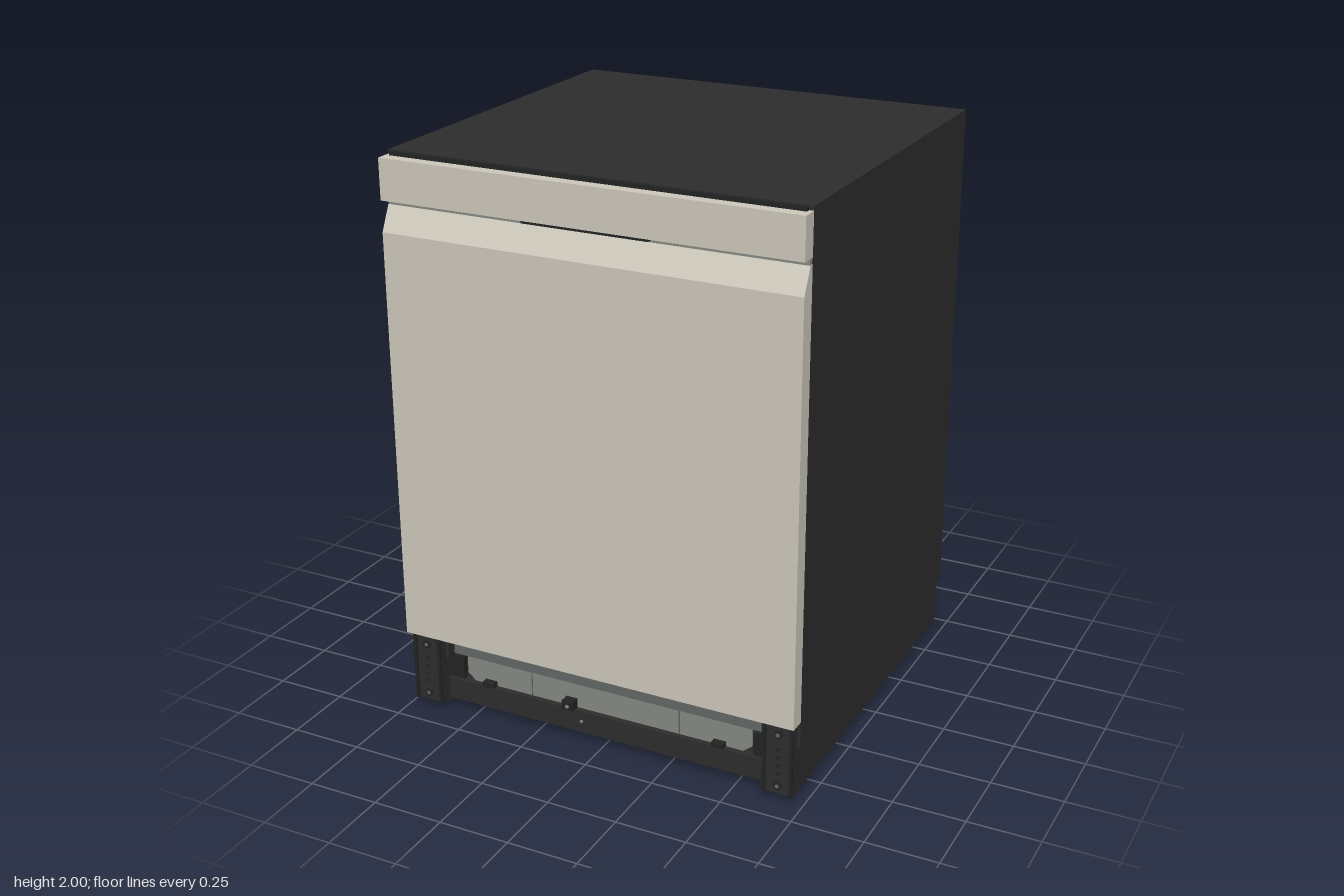
import * as THREE from 'three';

const mat = (name, color) => {
  const m = new THREE.MeshStandardMaterial({ color });
  m.name = name;
  return m;
};

export function createModel() {
  const cabinetBlack = mat('cabinet black', 0x2d2d2d);
  const trimBlack = mat('trim black', 0x222323);
  const doorSteel = mat('door warm steel', 0xcdc8bb);
  const gapGrey = mat('gap grey', 0x868984);
  const panelGrey = mat('kick panel grey', 0x858982);
  const shadowGrey = mat('upper strip grey', 0x626765);

  const model = new THREE.Group();
  model.name = 'dishwasher';

  const add = (name, geometry, material) => {
    const mesh = new THREE.Mesh(geometry, material);
    mesh.name = name;
    model.add(mesh);
    return mesh;
  };
  // Box given by its minimum and maximum on each axis
  const box = (name, material, x0, x1, y0, y1, z0, z1) => {
    const mesh = add(name, new THREE.BoxGeometry(x1 - x0, y1 - y0, z1 - z0), material);
    mesh.position.set((x0 + x1) / 2, (y0 + y1) / 2, (z0 + z1) / 2);
    return mesh;
  };
  // Disc or peg facing the front
  const peg = (name, material, r, depth, x, y, z) => {
    const mesh = add(name, new THREE.CylinderGeometry(r, r, depth, 12), material);
    mesh.rotation.x = Math.PI / 2;
    mesh.position.set(x, y, z);
  };
  // (z, y) profile extruded across the width
  const across = (name, material, profile, width) => {
    const shape = new THREE.Shape(profile.map(([z, y]) => new THREE.Vector2(-z, y)));
    const geo = new THREE.ExtrudeGeometry(shape, { depth: width, bevelEnabled: false });
    geo.translate(0, 0, -width / 2);
    geo.rotateY(Math.PI / 2);
    return add(name, geo, material);
  };

  // Cabinet shell, overhanging the base
  box('cabinet', cabinetBlack, -0.73, 0.73, 0.298, 2, -0.695, 0.64);
  box('cabinetLowerBand', cabinetBlack, -0.73, 0.73, 0.2, 0.298, -0.695, 0.595);
  box('base', cabinetBlack, -0.72, 0.72, 0.035, 0.2, -0.683, 0.595);

  // Door with a sloped finger recess along its top edge
  across('door', doorSteel,
    [[0.64, 0.3], [0.697, 0.3], [0.697, 1.742], [0.656, 1.826], [0.64, 1.826]], 1.46);

  // Control strip, the gap beneath it and the seal on top
  box('controlStrip', doorSteel, -0.73, 0.73, 1.847, 1.986, 0.64, 0.697);
  box('handleGap', gapGrey, -0.728, 0.728, 1.826, 1.847, 0.64, 0.657);
  box('handleLatch', trimBlack, -0.22, 0.22, 1.837, 1.847, 0.657, 0.69);
  box('topSeal', trimBlack, -0.715, 0.715, 1.986, 2, 0.64, 0.657);

  // Kick area: crossbar, upper strip and recessed panel
  box('kickCrossbar', cabinetBlack, -0.615, 0.615, 0.035, 0.116, 0.595, 0.625);
  box('kickUpperStrip', shadowGrey, -0.585, 0.585, 0.218, 0.298, 0.595, 0.625);
  const outline = new THREE.Shape([
    [-0.515, 0.116], [0.515, 0.116], [0.545, 0.14], [0.545, 0.205],
    [0.53, 0.218], [-0.545, 0.218], [-0.545, 0.14],
  ].map(([x, y]) => new THREE.Vector2(x, y)));
  const panel = new THREE.ExtrudeGeometry(outline, { depth: 0.009, bevelEnabled: false });
  add('kickPanel', panel, panelGrey).position.z = 0.596;
  for (const x of [-0.285, 0.28]) {
    box('panelSeam', shadowGrey, x - 0.002, x + 0.002, 0.118, 0.217, 0.603, 0.607);
  }

  // Clips along the panel's lower edge
  box('centreClip', trimBlack, -0.15, -0.108, 0.116, 0.15, 0.6, 0.64);
  peg('clipHole', panelGrey, 0.007, 0.004, -0.129, 0.131, 0.64);
  for (const x of [-0.45, 0.43]) {
    box('sideClip', trimBlack, x - 0.022, x + 0.022, 0.116, 0.134, 0.6, 0.63);
  }
  peg('crossbarScrew', panelGrey, 0.006, 0.004, -0.082, 0.078, 0.626);

  for (const s of [-1, 1]) {
    const side = (name, material, x0, x1, ...rest) =>
      box(name, material, Math.min(s * x0, s * x1), Math.max(s * x0, s * x1), ...rest);
    // Cabinet cheek, front post and inner bracket
    side('cabinetCheek', cabinetBlack, 0.6, 0.73, 0.2, 0.298, 0.595, 0.64);
    side('frontPost', cabinetBlack, 0.612, 0.72, 0.035, 0.295, 0.595, 0.67);
    side('postInnerRib', trimBlack, 0.612, 0.624, 0.035, 0.295, 0.67, 0.677);
    side('postOuterRib', trimBlack, 0.708, 0.72, 0.035, 0.295, 0.67, 0.677);
    side('innerBracket', trimBlack, 0.556, 0.612, 0.116, 0.2, 0.595, 0.615);
    for (const y of [0.065, 0.255]) {
      peg('postBoss', trimBlack, 0.015, 0.008, s * 0.667, y, 0.672);
      peg('postScrew', shadowGrey, 0.007, 0.004, s * 0.667, y, 0.676);
    }
    for (const y of [0.11, 0.14, 0.17, 0.2]) {
      peg('postHole', trimBlack, 0.006, 0.003, s * 0.667, y, 0.67);
    }
    // Levelling feet
    for (const z of [0.577, -0.567]) {
      const foot = add('foot', new THREE.CylinderGeometry(0.033, 0.033, 0.026, 20), trimBlack);
      foot.position.set(s * 0.65, 0.013, z);
      const stem = add('footStem', new THREE.CylinderGeometry(0.02, 0.02, 0.012, 12), trimBlack);
      stem.position.set(s * 0.65, 0.031, z);
    }
  }

  return model;
}
